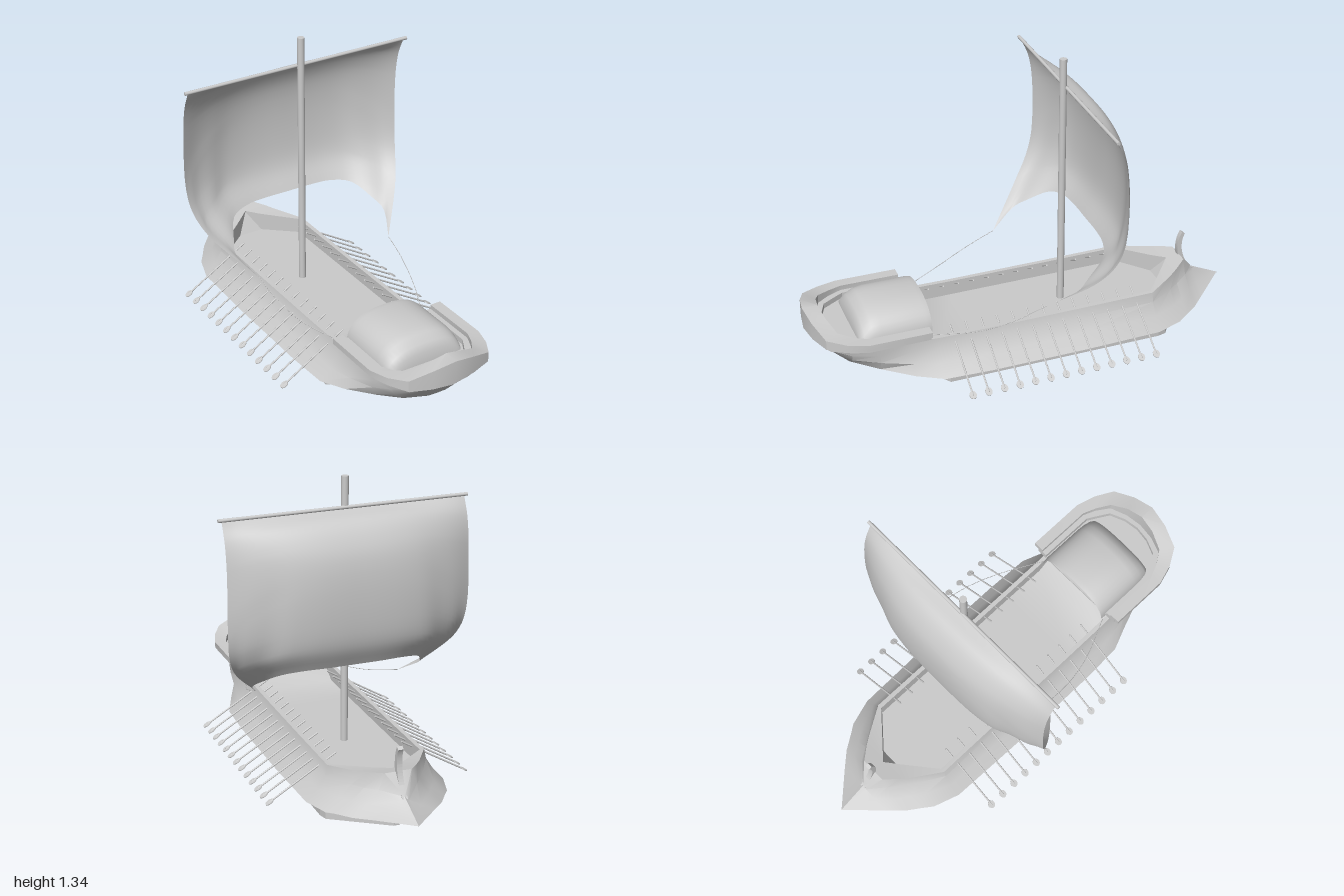
import * as THREE from 'three';
import { toCreasedNormals } from 'three/addons/utils/BufferGeometryUtils.js';

const material = new THREE.MeshStandardMaterial({ color: 0xcccccc, side: THREE.DoubleSide });
const DECK_Y = 0.143;

function add(parent, name, geometry) {
  const mesh = new THREE.Mesh(geometry, material);
  mesh.name = name;
  parent.add(mesh);
  return mesh;
}

// Skin over rows of [x, y, z] points; all rows have the same length.
function loft(rows, crease = 0.6) {
  const n = rows[0].length, index = [];
  for (let i = 0; i < rows.length - 1; i++)
    for (let j = 0; j < n - 1; j++) {
      const a = i * n + j, b = a + n;
      index.push(a, a + 1, b, b, a + 1, b + 1);
    }
  const g = new THREE.BufferGeometry();
  g.setAttribute('position', new THREE.Float32BufferAttribute(rows.flat(2), 3));
  g.setIndex(index);
  g.computeVertexNormals();
  return crease ? toCreasedNormals(g, crease) : g;
}

const mirrorX = (p) => [-p[0], p[1], p[2]];
const curve = (pts) => new THREE.CatmullRomCurve3(pts.map((p) => new THREE.Vector3(...p)), false, 'centripetal');

function polygon(half, Type = THREE.Shape) {
  const pts = [...half, ...half.map(([x, y]) => [-x, y]).reverse()];
  return new Type(pts.map(([x, y]) => new THREE.Vector2(x, y)));
}

// Hull sections: [x, y] at keel, bulge, flank, waist and rail
const RAM_TIP = Array(5).fill([0, 0.1]);
const MIDSHIP = [[0.262, 0.025], [0.322, 0.06], [0.27, 0.115], [0.232, 0.17], [0.22, 0.213]];
const BOW = [
  [-0.86, [0.02, 0.055], [0.135, 0.085], [0.07, 0.12], [0.02, 0.15], [0, 0.165]],
  [-0.79, [0.03, 0.028], [0.2, 0.075], [0.14, 0.125], [0.085, 0.18], [0.06, 0.25]],
  [-0.73, [0.08, 0.025], [0.24, 0.07], [0.18, 0.12], [0.125, 0.17], [0.11, 0.238]],
  [-0.68, [0.14, 0.025], [0.275, 0.065], [0.215, 0.117], [0.16, 0.17], [0.145, 0.228]],
  [-0.56, [0.25, 0.025], [0.313, 0.06], [0.265, 0.115], [0.23, 0.17], [0.22, 0.215]],
];
const STERN = [
  [0.46, [0.22, 0.025], [0.314, 0.062], [0.265, 0.115], [0.23, 0.17], [0.22, 0.216]],
  [0.58, [0.03, 0.029], [0.265, 0.075], [0.245, 0.125], [0.225, 0.175], [0.22, 0.225]],
  [0.72, [0.02, 0.058], [0.2, 0.105], [0.22, 0.15], [0.22, 0.185], [0.22, 0.232]],
  [0.84, [0.02, 0.105], [0.145, 0.14], [0.19, 0.175], [0.205, 0.205], [0.21, 0.235]],
  [0.905, [0.02, 0.16], [0.1, 0.18], [0.14, 0.2], [0.165, 0.218], [0.175, 0.236]],
  [0.95, [0.02, 0.225], [0.05, 0.228], [0.08, 0.231], [0.095, 0.234], [0.1, 0.237]],
];

function buildHull(ship) {
  // Each ring runs up one side, over the rail, across the deck and down again
  const ring = ([z, ...section]) => {
    const [rx, ry] = section[section.length - 1];
    const inner = z < -0.56 ? Math.max(0, (z + 0.73) * 1.18) : rx - 0.02;
    const floor = z > 0.5 || inner === 0 ? ry - 0.005 : DECK_Y;
    const half = [...section, [inner, ry], [inner, floor]].map(([x, y]) => [x, y, z]);
    return [...half, ...half.map(mirrorX).reverse()];
  };
  const bow = [[-1, ...RAM_TIP], ...BOW].map(ring);
  const middle = [-0.2, 0.25].map((z) => ring([z, ...MIDSHIP]));
  const stern = STERN.map(ring);
  add(ship, 'hullAndDeck', loft([...bow, ...middle, ...stern]));

  // Undersides of the overhanging bow and stern
  const across = (r) => [r[0], r[r.length - 1]];
  add(ship, 'bowUnderside', loft(bow.slice(0, 3).map(across)));
  add(ship, 'sternUnderside', loft(stern.slice(1).map(across)));

  // Hollow keel frame, pointed at both ends
  const frame = polygon([[0.012, -0.78], [0.25, -0.62], [0.26, -0.58], [0.26, 0.42], [0.012, 0.585]]);
  frame.holes.push(polygon([[0.01, -0.76], [0.235, -0.61], [0.245, -0.575], [0.245, 0.41], [0.01, 0.565]], THREE.Path));
  const keel = new THREE.ExtrudeGeometry(frame, { depth: 0.028, bevelEnabled: false });
  add(ship, 'keelFrame', keel.rotateX(Math.PI / 2).translate(0, 0.028, 0));

  // Curled bow post
  const post = new THREE.Shape();
  post.moveTo(-0.865, 0.157);
  post.quadraticCurveTo(-0.81, 0.21, -0.802, 0.285);
  post.quadraticCurveTo(-0.8, 0.33, -0.815, 0.355);
  post.lineTo(-0.8, 0.365);
  post.quadraticCurveTo(-0.77, 0.31, -0.785, 0.24);
  post.lineTo(-0.81, 0.17);
  const postGeometry = new THREE.ExtrudeGeometry(post, { depth: 0.024, bevelEnabled: false });
  add(ship, 'bowPost', postGeometry.rotateY(-Math.PI / 2).translate(0.012, 0, 0));
}

// Horseshoe band round the stern; rows: outer x, z, inner x, z, top y
function sternBand(ship, name, bottom, rows) {
  const half = rows.map(([ox, oz, ix, iz, top]) => [
    [ox, bottom, oz], [ox, top, oz], [ix, top, iz], [ix, bottom, iz], [ox, bottom, oz],
  ]);
  const all = [...half, ...half.slice(0, -1).reverse().map((r) => r.map(mirrorX))];
  add(ship, name, loft(all, 0.5));
  for (const end of [all[0], all[all.length - 1]])
    add(ship, name + 'End', loft([[end[0], end[1]], [end[3], end[2]]]));
}

function buildStern(ship) {
  const upper = [
    [0.275, 0.5, 0.225, 0.5, 0.288], [0.275, 0.78, 0.225, 0.77, 0.29], [0.248, 0.87, 0.2, 0.83, 0.295],
    [0.2, 0.95, 0.16, 0.89, 0.307], [0.1, 0.985, 0.08, 0.92, 0.342], [0, 1, 0, 0.93, 0.363],
  ];
  const pullIn = (z) => (z > 0.8 ? z - 0.02 : z);
  const lower = upper.map(([ox, oz, ix, iz]) => [ox * 0.91, pullIn(oz), ix * 0.89, pullIn(iz), 0.268]);
  sternBand(ship, 'upperGallery', 0.262, upper);
  sternBand(ship, 'lowerGallery', 0.237, lower);

  const floor = polygon([[0.222, 0.5], [0.222, 0.77], [0.2, 0.86], [0.1, 0.945]]);
  const slab = new THREE.ExtrudeGeometry(floor, { depth: 0.01, bevelEnabled: false });
  add(ship, 'poopDeck', slab.rotateX(Math.PI / 2).translate(0, 0.243, 0));

  // Vaulted cabin: z, half width, crown height
  const vault = [
    [0.475, 0.192, 0.355], [0.5, 0.195, 0.36], [0.7, 0.195, 0.36], [0.74, 0.193, 0.35],
    [0.775, 0.188, 0.325], [0.795, 0.18, 0.295], [0.8, 0.17, 0.225],
  ].map(([z, w, top]) => Array.from({ length: 21 }, (_, i) => {
    const a = (i / 20) * Math.PI, c = Math.cos(a);
    return [w * Math.sign(c) * Math.abs(c) ** 0.8, 0.215 + (top - 0.215) * Math.sin(a) ** 0.8, z];
  }));
  add(ship, 'cabin', loft(vault, 0.9));
}

function buildRig(ship) {
  add(ship, 'mast', new THREE.CylinderGeometry(0.016, 0.016, 1.22, 16)).position.set(0, 0.73, -0.2);
  const yard = add(ship, 'yard', new THREE.CylinderGeometry(0.008, 0.008, 1.12, 12));
  yard.rotation.z = Math.PI / 2;
  yard.position.set(0, 1.207, -0.212);

  // Sail: blend of centre line, side edge and arched foot
  const centre = curve([[0, 1.2, -0.215], [0, 1.17, -0.3], [0, 1.08, -0.36], [0, 0.97, -0.385],
    [0, 0.76, -0.385], [0, 0.64, -0.365], [0, 0.54, -0.315]]);
  const edge = curve([[0.545, 1.2, -0.215], [0.545, 1.12, -0.25], [0.545, 1, -0.27], [0.545, 0.72, -0.268],
    [0.53, 0.61, -0.235], [0.485, 0.51, -0.165], [0.34, 0.35, 0]]);
  const foot = curve([[0, 0.54, -0.315], [0.12, 0.54, -0.315], [0.22, 0.538, -0.305], [0.31, 0.52, -0.27],
    [0.365, 0.465, -0.18], [0.39, 0.425, -0.12], [0.34, 0.35, 0]]);
  const blend = (t, v) => {
    const c = centre.getPoint(v), e = edge.getPoint(v), w = t ** 2.6;
    return new THREE.Vector3(t * e.x, c.y + (e.y - c.y) * w, c.z + (e.z - c.z) * w);
  };
  const rows = [];
  for (let i = 0; i <= 30; i++) {
    const v = i / 30, row = [];
    for (let j = -20; j <= 20; j++) {
      const t = Math.abs(j) / 20;
      const p = blend(t, v).addScaledVector(foot.getPoint(t).sub(blend(t, 1)), v ** 3);
      row.push([Math.sign(j) * p.x, p.y, p.z]);
    }
    rows.push(row);
  }
  add(ship, 'sail', loft(rows, 0));

  // Sheets from the sail corners to the stern
  for (const s of [1, -1]) {
    const path = curve([[s * 0.34, 0.35, 0], [s * 0.33, 0.305, 0.12], [s * 0.29, 0.255, 0.28], [s * 0.2, 0.225, 0.48]]);
    add(ship, s > 0 ? 'leftSheet' : 'rightSheet', new THREE.TubeGeometry(path, 20, 0.0015, 5));
  }
}

function buildOars(ship) {
  const shaft = new THREE.CylinderGeometry(0.004, 0.004, 0.35, 8).rotateZ(Math.PI / 2);
  const blade = new THREE.CylinderGeometry(0.016, 0.016, 0.004, 14).scale(1.2, 1, 1).translate(0.172, 0, 0);
  for (const s of [1, -1]) {
    const bank = new THREE.Group();
    bank.name = s > 0 ? 'leftOars' : 'rightOars';
    bank.scale.x = s;
    for (let i = 0; i < 13; i++) {
      const oar = new THREE.Group();
      oar.name = 'oar';
      add(oar, 'oarShaft', shaft);
      add(oar, 'oarBlade', blade);
      oar.position.set(0.3, 0.137, 0.383 - i * 0.072);
      oar.rotation.z = -Math.atan(0.6);
      bank.add(oar);
    }
    ship.add(bank);
  }
}

export function createModel() {
  const ship = new THREE.Group();
  ship.name = 'galley';
  buildHull(ship);
  buildStern(ship);
  buildRig(ship);
  buildOars(ship);
  return ship;
}
